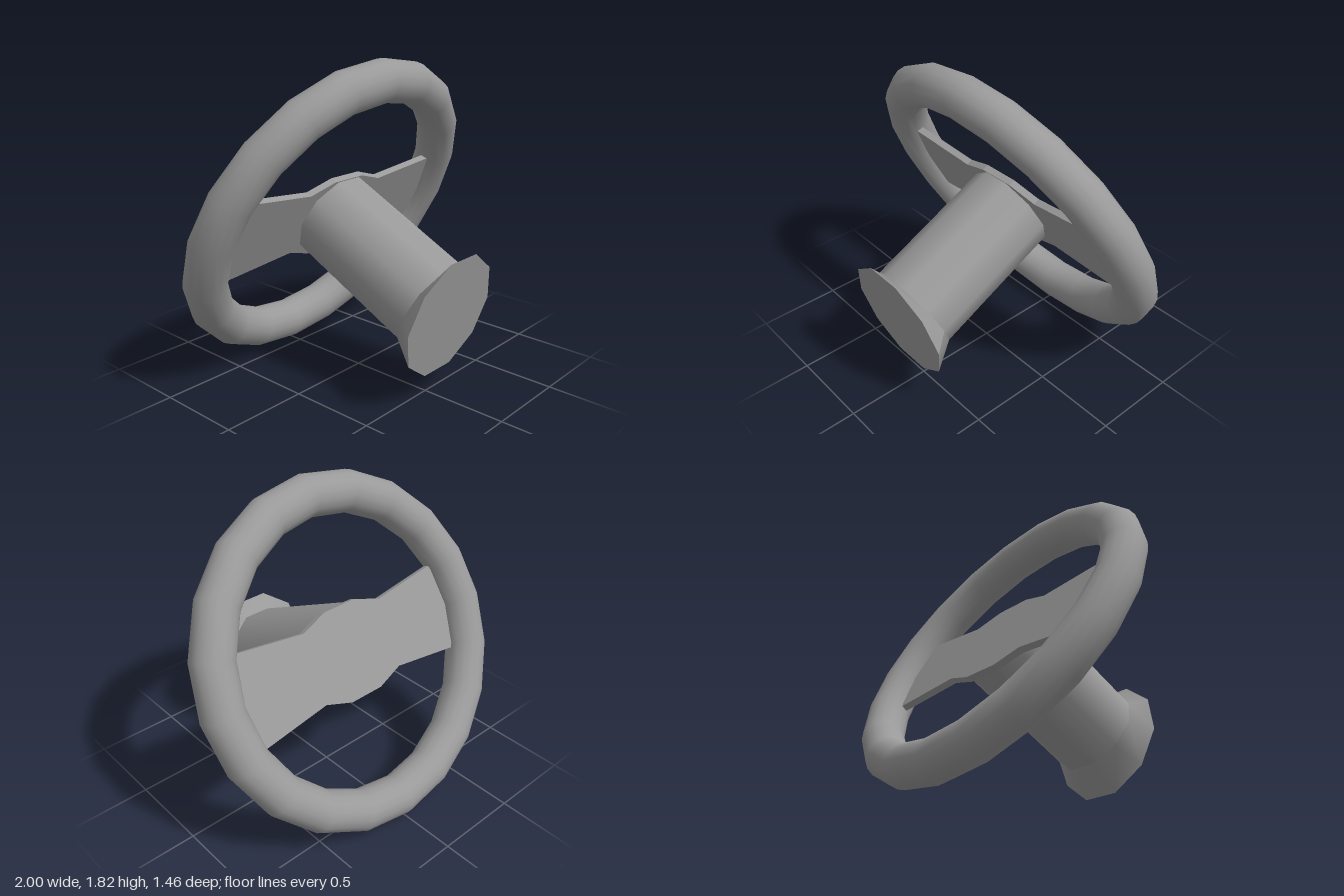
import * as THREE from 'three';

export function createModel() {
  const model = new THREE.Group();
  const grey = new THREE.MeshStandardMaterial({ color: 0x9a9a9a });
  grey.name = 'grey';

  // The whole wheel is built facing +z, then tilted
  const wheel = new THREE.Group();
  wheel.name = 'steeringWheel';
  wheel.position.set(0, 0.907, -0.222);
  wheel.rotation.x = THREE.MathUtils.degToRad(26.3);
  model.add(wheel);

  const add = (name, geometry) => {
    const mesh = new THREE.Mesh(geometry, grey);
    mesh.name = name;
    wheel.add(mesh);
    return mesh;
  };

  // Rim: twenty segments with a smooth round section
  add('rim', new THREE.TorusGeometry(0.881, 0.119, 16, 20));

  // Spoke plate: a ten-sided hub with two flaring arms that run into the rim
  const half = [[0.85, 0.277], [0.28, 0.205], [0.11, 0.263]];
  const top = [...half, ...half.map(([x, y]) => [-x, y]).reverse()];
  const outline = [...top, ...top.map(([x, y]) => [x, -y]).reverse()];
  const plate = new THREE.Shape(outline.map(([x, y]) => new THREE.Vector2(x, y)));
  add('spokePlate', new THREE.ExtrudeGeometry(plate, { depth: 0.04, bevelEnabled: false }));

  // Ten-sided prism along z, with corners on the x axis
  const prism = (front, back, z0, z1, open) =>
    new THREE.CylinderGeometry(front, back, z1 - z0, 10, 1, open, Math.PI / 2)
      .rotateX(Math.PI / 2).translate(0, 0, (z0 + z1) / 2);

  // Column
  add('column', prism(0.27, 0.27, 0.02, 0.85, true));

  // Flared foot: its front face is slanted
  const foot = prism(0.36, 0.27, 0.85, 0.966, false);
  const p = foot.attributes.position;
  for (let i = 0; i < p.count; i++) {
    if (p.getZ(i) < 0.9) continue;
    const y = p.getY(i);
    p.setY(i, y * 0.98 + 0.017);
    p.setZ(i, 0.966 - 0.24 * y);
  }
  foot.computeVertexNormals();
  add('columnFoot', foot);

  return model;
}
